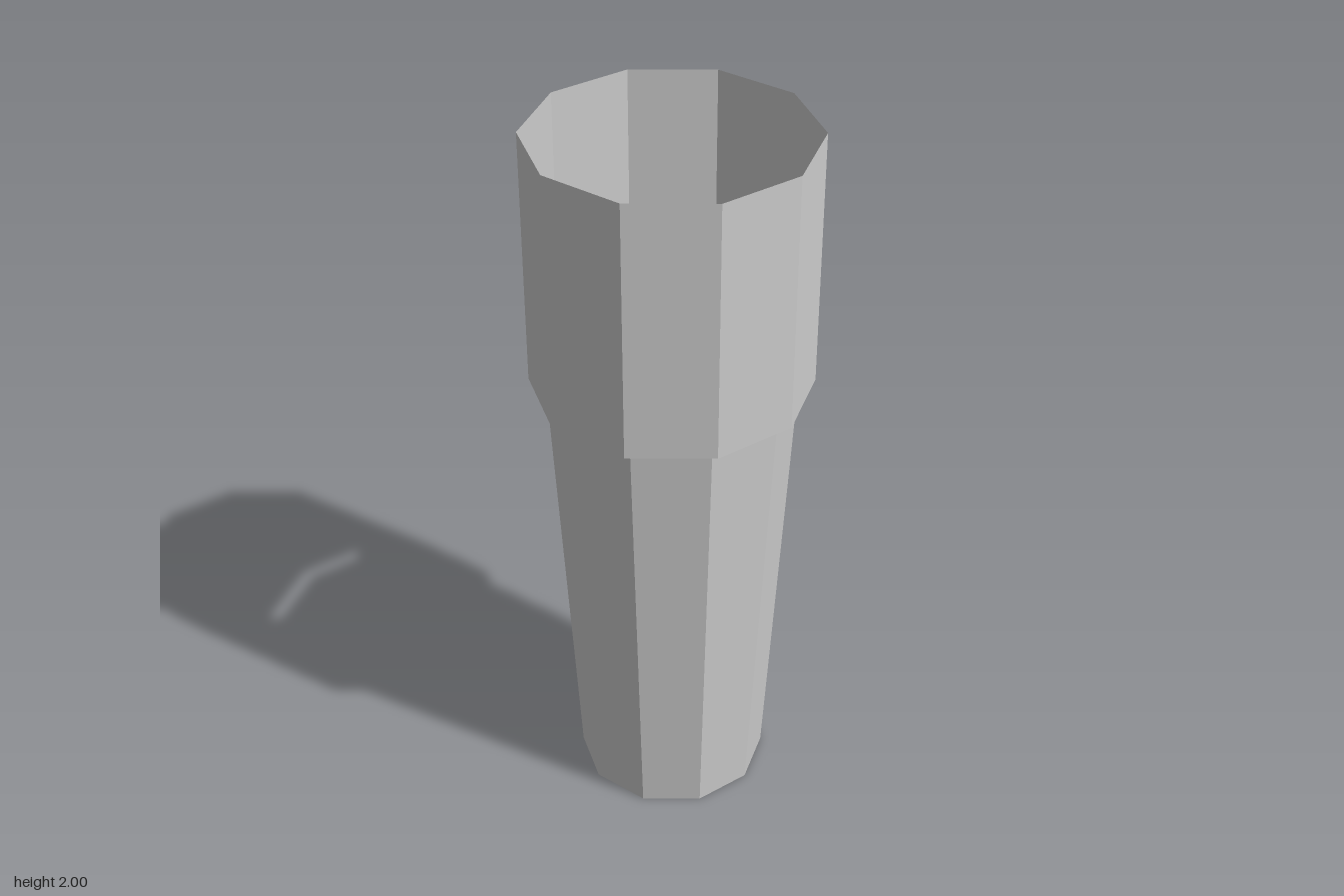
import * as THREE from 'three';

const SIDES = 10;

export function createModel() {
  const model = new THREE.Group();
  const grey = new THREE.MeshStandardMaterial({ color: 0xcccccc });
  grey.name = 'light grey';
  grey.flatShading = true;
  grey.side = THREE.DoubleSide;

  // Stacked ten-sided part between two heights
  const addPart = (name, rTop, rBottom, y0, y1, open) => {
    const geometry = new THREE.CylinderGeometry(rTop, rBottom, y1 - y0, SIDES, 1, open);
    const mesh = new THREE.Mesh(geometry, grey);
    mesh.name = name;
    mesh.position.y = (y0 + y1) / 2;
    model.add(mesh);
  };

  // Closed tapered body, then the thin open sleeve above it
  addPart('taperedBody', 0.333, 0.265, 0, 1.29, false);
  addPart('openSleeve', 0.376, 0.376, 1.29, 2, true);

  return model;
}
